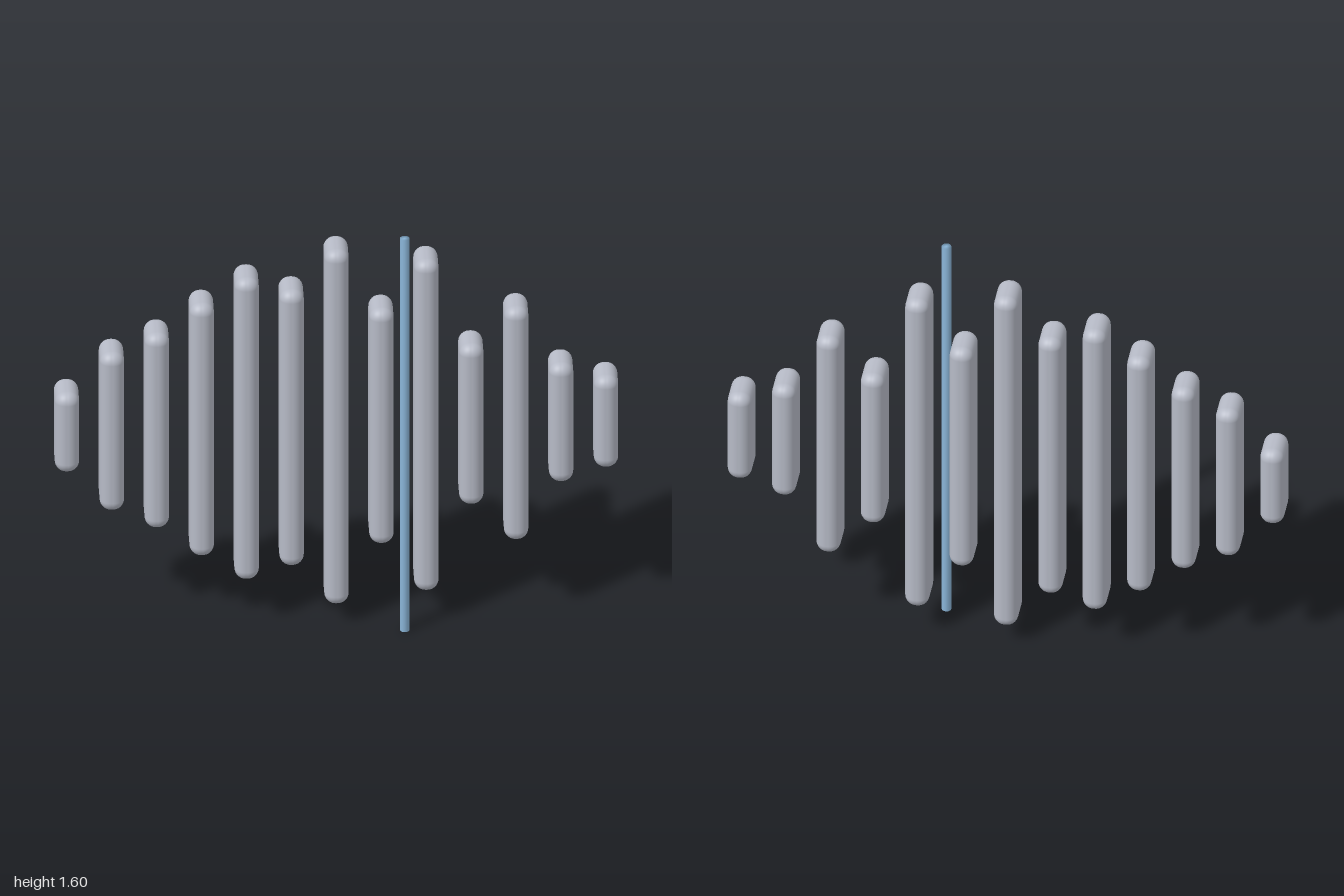
import * as THREE from 'three';
import { mergeVertices } from 'three/addons/utils/BufferGeometryUtils.js';
import { RoundedBoxGeometry } from 'three/addons/geometries/RoundedBoxGeometry.js';

const BAR_HEIGHTS = [0.32, 0.64, 0.79, 1.025, 1.225, 1.12, 1.44, 0.955, 1.345, 0.65, 0.945, 0.48, 0.37];
const SPACING = 0.1594;
const BAR_WIDTH = 0.087;
const BAR_DEPTH = 0.159;
const HEIGHT = 1.596;

export function createModel() {
  const model = new THREE.Group();
  model.name = 'waveform';

  const barMaterial = new THREE.MeshStandardMaterial({ color: 0xb6bac6 });
  barMaterial.name = 'pale grey';
  const rodMaterial = new THREE.MeshStandardMaterial({ color: 0x8ab5d8 });
  rodMaterial.name = 'light blue';

  // Row of rounded bars, all centred on the same height
  const bars = new THREE.Group();
  bars.name = 'bars';
  BAR_HEIGHTS.forEach((height, i) => {
    const bar = new THREE.Mesh(new RoundedBoxGeometry(BAR_WIDTH, height, BAR_DEPTH, 5, 0.04), barMaterial);
    bar.name = `bar${i + 1}`;
    bar.position.set((i - 6) * SPACING, HEIGHT / 2, -0.0255);
    bars.add(bar);
  });
  model.add(bars);

  // Thin upright marker in front, shaded smoothly across its end caps
  let rodGeometry = new THREE.CylinderGeometry(0.0175, 0.0175, HEIGHT, 12);
  rodGeometry.deleteAttribute('normal');
  rodGeometry.deleteAttribute('uv');
  rodGeometry = mergeVertices(rodGeometry);
  rodGeometry.computeVertexNormals();
  const rod = new THREE.Mesh(rodGeometry, rodMaterial);
  rod.name = 'markerRod';
  rod.position.set(SPACING * 1.5, HEIGHT / 2, 0.0875);
  model.add(rod);

  return model;
}
